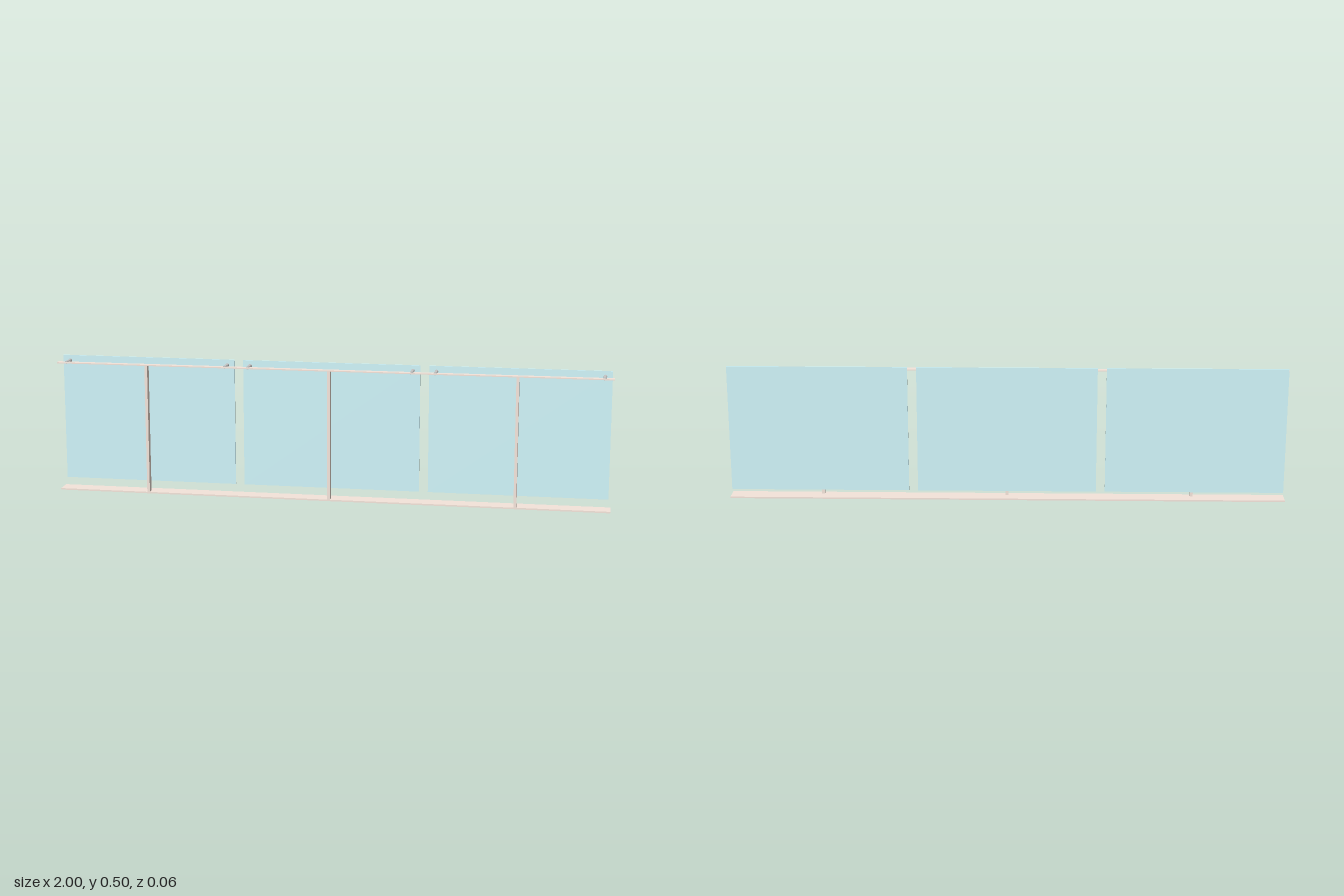
import * as THREE from 'three';

export function createModel() {
  const group = new THREE.Group();
  const metal = new THREE.MeshStandardMaterial({ color: 0xf5e5db });
  const glass = new THREE.MeshStandardMaterial({ color: 0xd0f5fa });
  const steel = new THREE.MeshStandardMaterial({ color: 0xcccccc, flatShading: true });

  // Box given by its minimum and maximum corners
  function box(name, material, [x0, y0, z0], [x1, y1, z1]) {
    const mesh = new THREE.Mesh(new THREE.BoxGeometry(x1 - x0, y1 - y0, z1 - z0), material);
    mesh.position.set((x0 + x1) / 2, (y0 + y1) / 2, (z0 + z1) / 2);
    mesh.name = name;
    group.add(mesh);
  }

  // Faceted cylinder lying along z
  function rod(name, radius, x, y, z0, z1) {
    const geometry = new THREE.CylinderGeometry(radius, radius, z1 - z0, 8).rotateX(Math.PI / 2);
    const mesh = new THREE.Mesh(geometry, steel);
    mesh.position.set(x, y, (z0 + z1) / 2);
    mesh.name = name;
    group.add(mesh);
  }

  // Long flat bars at floor and top
  box('basePlate', metal, [-1, 0, -0.03], [1, 0.0055, 0.03]);
  box('topRail', metal, [-1, 0.473, 0.008], [1, 0.477, 0.03]);

  for (const i of [-1, 0, 1]) {
    // Upright flat post
    const px = i * 0.667;
    box('post', metal, [px - 0.005, 0.0055, 0.008], [px + 0.005, 0.473, 0.03]);

    // Glass pane with a standoff near each upper corner
    const gx = i * 0.672;
    box('glassPane', glass, [gx - 0.32, 0.035, -0.0295], [gx + 0.32, 0.495, -0.025]);
    for (const side of [-1, 1]) {
      const x = gx + side * 0.294;
      rod('standoff', 0.006, x, 0.476, -0.02, 0.023);
      rod('standoffCap', 0.0065, x, 0.476, -0.025, -0.02);
    }
  }
  return group;
}
